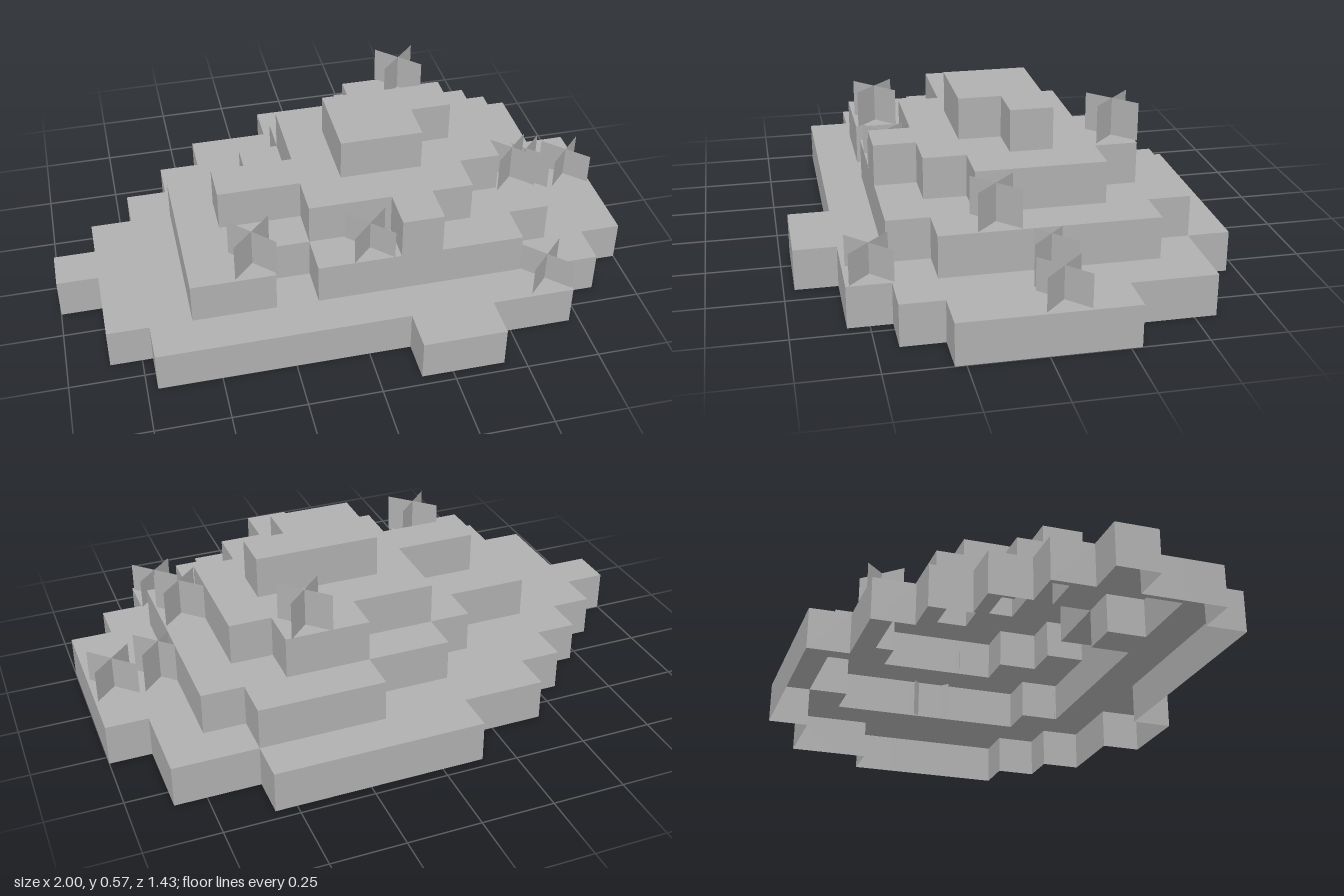
import * as THREE from 'three';

const U = 1 / 7; // side of one grid cell

// Each terrace as runs of cells: [z row, first x, end x]
const TERRACES = [
  [[-5, -1, 4], [-4, -3, 6], [-3, -4, 6], [-2, -5, 7], [-1, -6, 7],
   [0, -7, 7], [1, -6, 7], [2, -6, 6], [3, -5, 5], [4, 1, 3]],
  [[-4, 1, 4], [-3, -1, 5], [-2, -2, 5], [-1, -4, 5],
   [0, -4, 5], [1, -4, 5], [2, -4, -2], [2, -1, 4]],
  [[-3, 1, 3], [-2, -1, 4], [-1, -1, 4], [0, -3, 4], [1, -1, 3], [2, 1, 2]],
  [[-1, 0, 3], [0, 0, 2]],
];

// Grass tufts: x, z, terrace they stand on, height
const TUFTS = [
  [-0.35, 0.35, 2, 0.135],
  [0.05, 0.36, 2, 0.105],
  [0.64, 0.09, 2, 0.13],
  [0.76, -0.06, 1, 0.143],
  [0.64, 0.49, 1, 0.107],
  [0.92, -0.06, 1, 0.113],
  [0.34, -0.365, 3, 0.13],
];

const isFilled = (level, x, z) =>
  (TERRACES[level] || []).some(([row, x0, x1]) => row === z && x >= x0 && x < x1);

// Hollow shell of one terrace: outer walls and the exposed top
function terraceGeometry(level) {
  const positions = [];
  const quad = (a, b, c, d) => {
    for (const p of [a, b, c, a, c, d]) positions.push(p[0] * U, p[1] * U, p[2] * U);
  };
  const y0 = level, y1 = level + 1;
  for (const [z, x0, x1] of TERRACES[level]) {
    for (let x = x0; x < x1; x++) {
      if (!isFilled(level + 1, x, z)) {
        quad([x, y1, z], [x, y1, z + 1], [x + 1, y1, z + 1], [x + 1, y1, z]);
      }
      for (const [dx, dz] of [[1, 0], [-1, 0], [0, 1], [0, -1]]) {
        if (isFilled(level, x + dx, z + dz)) continue;
        const cx = x + 0.5 + dx / 2, cz = z + 0.5 + dz / 2;
        const ax = cx - dz / 2, az = cz + dx / 2;
        const bx = cx + dz / 2, bz = cz - dx / 2;
        quad([ax, y0, az], [bx, y0, bz], [bx, y1, bz], [ax, y1, az]);
      }
    }
  }
  const geometry = new THREE.BufferGeometry();
  geometry.setAttribute('position', new THREE.Float32BufferAttribute(positions, 3));
  geometry.computeVertexNormals();
  return geometry;
}

export function createModel() {
  const stone = new THREE.MeshStandardMaterial({ color: 0xb0b0b0, side: THREE.DoubleSide });
  stone.name = 'stone grey';

  const model = new THREE.Group();
  model.name = 'terracedHill';

  // Stepped hill
  TERRACES.forEach((_, level) => {
    const terrace = new THREE.Mesh(terraceGeometry(level), stone);
    terrace.name = `terrace${level + 1}`;
    model.add(terrace);
  });

  // Tufts made of two diagonal crossed panels
  for (const [x, z, level, height] of TUFTS) {
    const tuft = new THREE.Group();
    tuft.name = 'grassTuft';
    for (const turn of [1, -1]) {
      const panel = new THREE.Mesh(new THREE.PlaneGeometry(0.14 * Math.SQRT2, height), stone);
      panel.name = 'grassPanel';
      panel.rotation.y = turn * Math.PI / 4;
      panel.position.y = height / 2;
      tuft.add(panel);
    }
    tuft.position.set(x, level * U, z);
    model.add(tuft);
  }
  return model;
}
